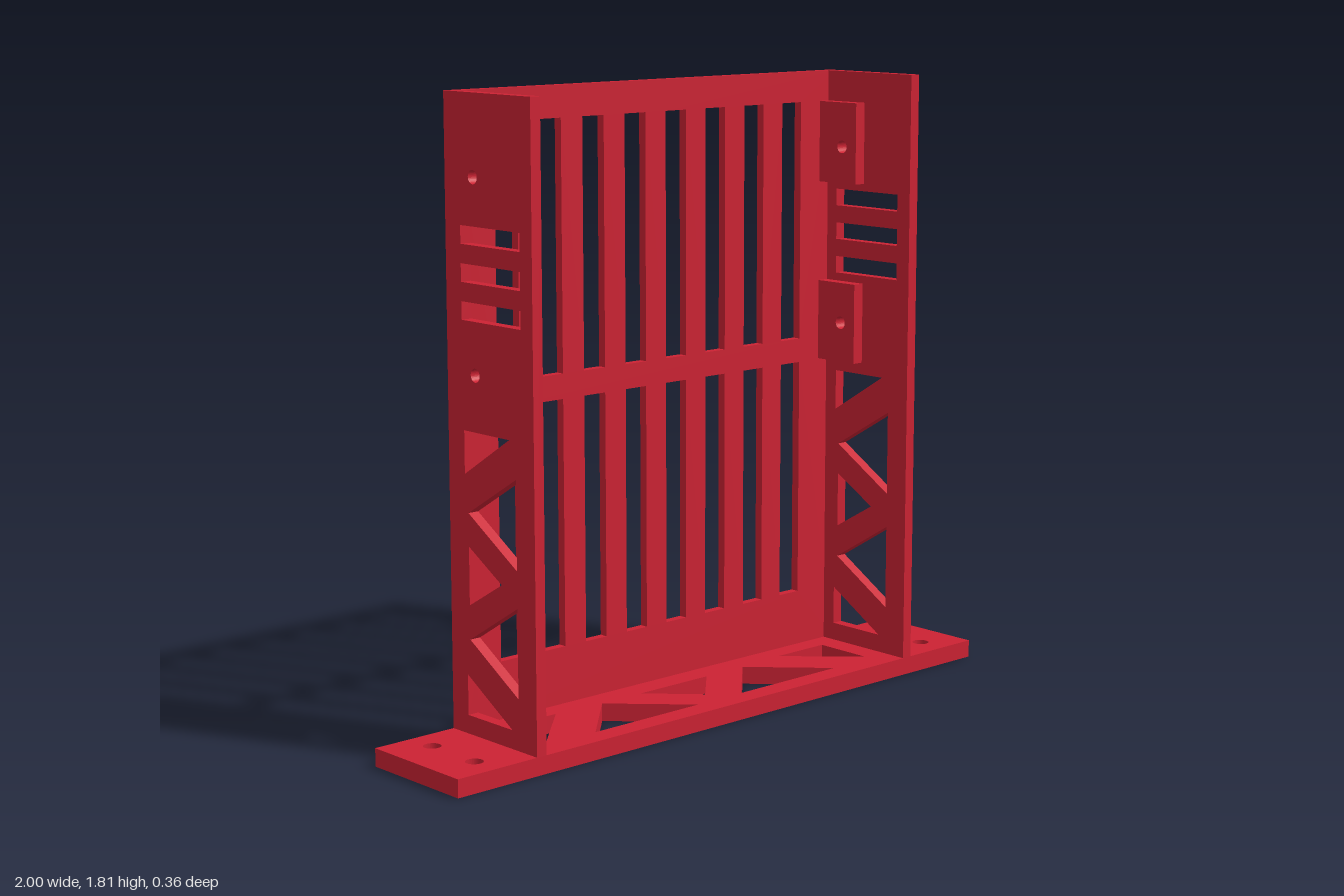
import * as THREE from 'three';

const material = new THREE.MeshStandardMaterial({ color: 0xcc2233 });

const polygon = (points) => new THREE.Path(points.map(([a, b]) => new THREE.Vector2(a, b)));
const rect = (a0, b0, a1, b1) => polygon([[a0, b0], [a1, b0], [a1, b1], [a0, b1]]);
const circle = (a, b, r) => new THREE.Path().absarc(a, b, r, 0, Math.PI * 2);

// Rectangular plate with cut-outs, extruded from z = 0 to z = thickness
function plate([a0, b0, a1, b1], thickness, holes) {
  const shape = new THREE.Shape(rect(a0, b0, a1, b1).getPoints());
  shape.holes = holes;
  return new THREE.ExtrudeGeometry(shape, { depth: thickness, bevelEnabled: false, curveSegments: 16 });
}

export function createModel() {
  const group = new THREE.Group();
  const add = (name, geometry, x = 0, y = 0, z = 0) => {
    const mesh = new THREE.Mesh(geometry, material);
    mesh.name = name;
    mesh.position.set(x, y, z);
    group.add(mesh);
  };

  const D = 0.181, H = 1.807, W = 0.733, WI = 0.7, BASE = 0.052, BACK = 0.026;

  // Base with truss cut-outs and four screw holes, drawn as (x, -z)
  const baseHoles = [polygon([[-0.13, 0.08], [0, -0.053], [0.13, 0.08]])];
  for (const s of [-1, 1]) {
    baseHoles.push(
      polygon([[s * 0.628, 0.092], [s * 0.44, 0.092], [s * 0.628, -0.092]]),
      polygon([[s * 0.278, 0.08], [s * 0.47, -0.114], [s * 0.085, -0.114]]),
      circle(s * 0.875, 0.092, 0.025),
      circle(s * 0.875, -0.092, 0.025));
  }
  add('base', plate([-1, -D, 1, D], BASE, baseHoles).rotateX(-Math.PI / 2));

  // Back panel with two rows of vertical slots
  const slots = [];
  for (let i = 0; i < 8; i++) {
    const x = (i - 3.5) * 0.1555;
    for (const [y0, y1] of [[0.219, 0.933], [1.005, 1.717]]) {
      slots.push(rect(x - 0.039, y0, x + 0.039, y1));
    }
  }
  add('backPanel', plate([-W, BASE, W, H], BACK, slots), 0, 0, -D);

  // Side walls, drawn as (z, y): truss triangles, vents and screw holes
  const screwZ = -0.062, screwR = 0.019, screwYs = [1.055, 1.585];
  const sideHoles = () => [
    polygon([[0.078, 0.9], [-0.113, 0.9], [-0.113, 0.78]]),
    polygon([[0.105, 0.797], [0.105, 0.549], [-0.1, 0.674]]),
    polygon([[0.04, 0.499], [-0.1, 0.581], [-0.1, 0.417]]),
    polygon([[0.105, 0.446], [0.105, 0.197], [-0.1, 0.321]]),
    polygon([[0.078, 0.105], [-0.113, 0.105], [-0.113, 0.22]]),
    ...[1.2, 1.302, 1.404].map((y) => rect(-0.117, y, 0.132, y + 0.05)),
    ...screwYs.map((y) => circle(screwZ, y, screwR)),
  ];
  const sidePlate = (bounds, thickness, holes) =>
    plate(bounds, thickness, holes).rotateY(-Math.PI / 2);

  for (const [side, s] of [['left', 1], ['right', -1]]) {
    const wall = sidePlate([-D + BACK, BASE, D, H], W - WI, sideHoles());
    add(side + 'Wall', wall, s > 0 ? W : -WI);

    // Drilled mounting pads on the inner face
    [[0.936, 1.176], [1.476, 1.717]].forEach(([y0, y1], i) => {
      const pad = sidePlate([-D + BACK, y0, -0.005, y1], 0.036, [circle(screwZ, screwYs[i], screwR)]);
      add(side + (i ? 'UpperPad' : 'LowerPad'), pad, s > 0 ? WI : -WI + 0.036);
    });
  }
  return group;
}
